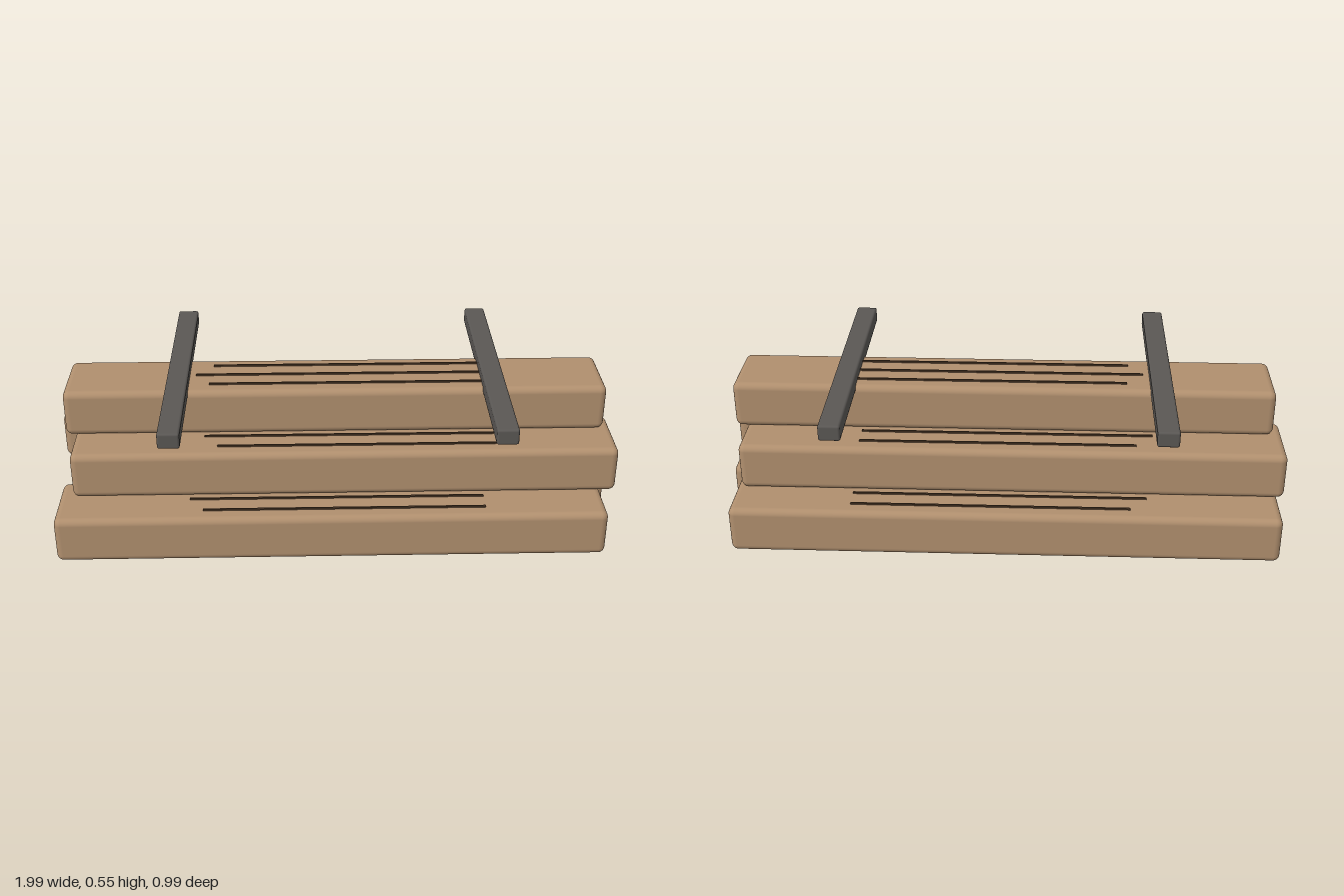
import * as THREE from 'three';
import { RoundedBoxGeometry } from 'three/addons/geometries/RoundedBoxGeometry.js';

export function createModel() {
  const model = new THREE.Group();
  model.name = 'timberStack';

  const timber = new THREE.MeshStandardMaterial({ color: 0xb08f6e });
  timber.name = 'timber';
  const darkGrain = new THREE.MeshStandardMaterial({ color: 0x4a3726 });
  darkGrain.name = 'darkGrain';
  const strapGrey = new THREE.MeshStandardMaterial({ color: 0x5a5754 });
  strapGrey.name = 'strapGrey';

  const add = (parent, name, geometry, material, x, y, z) => {
    const mesh = new THREE.Mesh(geometry, material);
    mesh.name = name;
    mesh.position.set(x, y, z);
    parent.add(mesh);
  };

  // Beams, stacked three, two, one: [x, y, z] of each centre
  const beams = [
    [-0.02, 0.087, 0.295], [0.025, 0.087, 0], [-0.015, 0.087, -0.295],
    [0.03, 0.258, 0.147], [-0.035, 0.258, -0.147],
    [0, 0.429, 0],
  ];
  const beamGeometry = new RoundedBoxGeometry(1.93, 0.17, 0.263, 4, 0.024);

  // Grain lines along the top of each beam: [x, z, length]
  const grain = [[0.05, -0.072, 0.98], [0.02, 0, 1.04], [0.045, 0.072, 0.99]];

  for (const [x, y, z] of beams) {
    const beam = new THREE.Group();
    beam.name = 'beam';
    beam.position.set(x, y, z);
    add(beam, 'beamBody', beamGeometry, timber, 0, 0, 0);
    for (const [gx, gz, length] of grain) {
      add(beam, 'grainLine', new THREE.BoxGeometry(length, 0.006, 0.007), darkGrain, gx, 0.088, gz);
    }
    model.add(beam);
  }

  // Two bars across the top
  const strapGeometry = new RoundedBoxGeometry(0.075, 0.057, 0.986, 2, 0.008);
  for (const side of [-1, 1]) {
    add(model, side > 0 ? 'leftStrap' : 'rightStrap', strapGeometry, strapGrey, side * 0.56, 0.521, 0);
  }

  return model;
}
